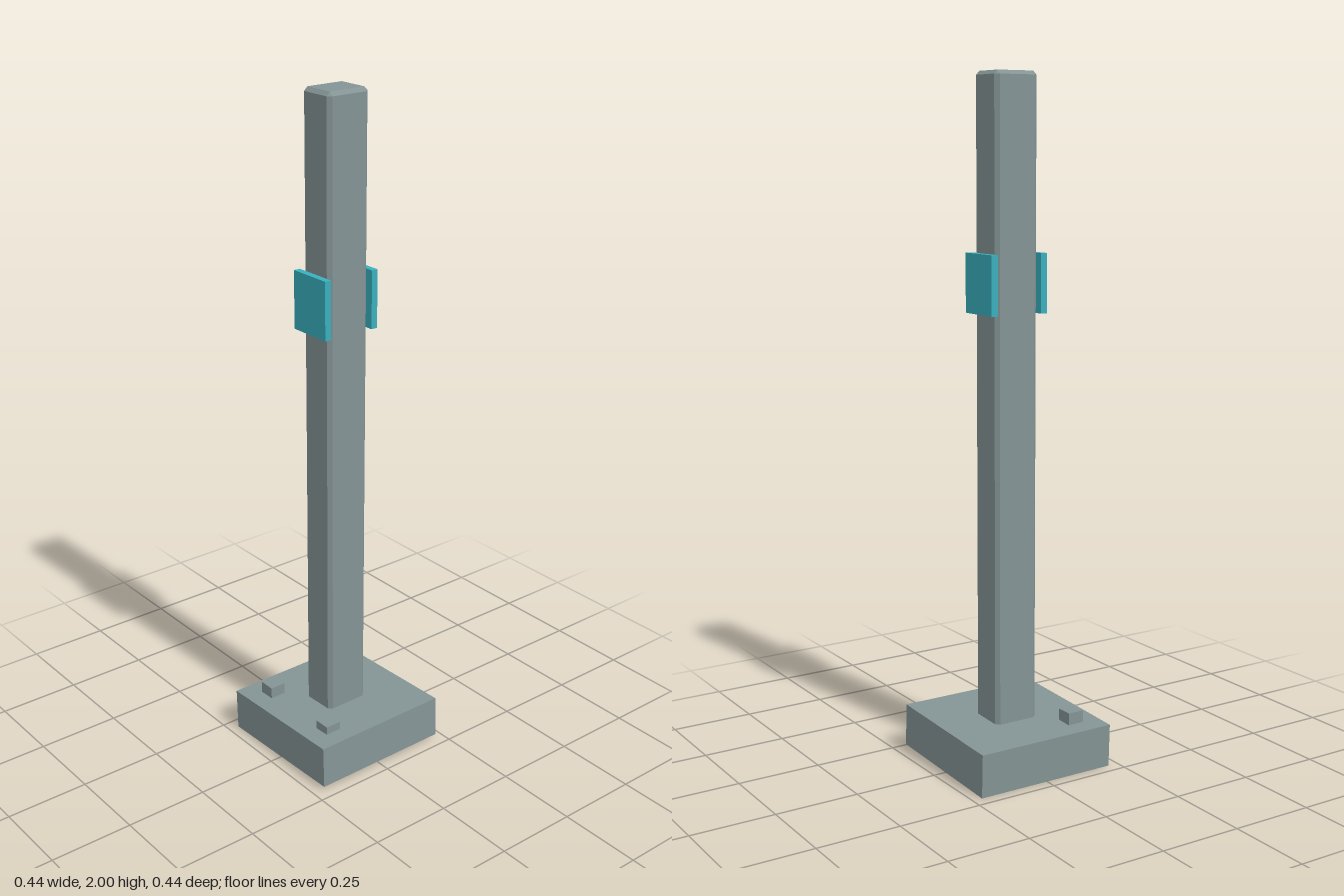
import * as THREE from 'three';
import { ConvexGeometry } from 'three/addons/geometries/ConvexGeometry.js';

const steel = new THREE.MeshStandardMaterial({ color: 0x849495, flatShading: true });
const teal = new THREE.MeshStandardMaterial({ color: 0x39b0bd, flatShading: true });

// Box with every edge and corner cut by c
function chamferedBox(w, h, d, c) {
  const points = [];
  for (const sx of [-1, 1]) for (const sy of [-1, 1]) for (const sz of [-1, 1]) {
    for (let full = 0; full < 3; full++) {
      const half = [w / 2, h / 2, d / 2].map((v, i) => (i === full ? v : v - c));
      points.push(new THREE.Vector3(sx * half[0], sy * half[1], sz * half[2]));
    }
  }
  return new ConvexGeometry(points);
}

export function createModel() {
  const model = new THREE.Group();
  model.name = 'signPost';

  function add(name, geometry, material, x, y, z) {
    const mesh = new THREE.Mesh(geometry, material);
    mesh.name = name;
    mesh.position.set(x, y, z);
    model.add(mesh);
    return mesh;
  }

  // Footing block, leaning slightly sideways
  const base = add('base', new THREE.BoxGeometry(0.435, 0.128, 0.438), steel, 0, 0.0715, -0.001);
  base.rotation.z = 0.035;

  // Upright post with chamfered edges
  add('post', chamferedBox(0.116, 1.89, 0.138, 0.011), steel, -0.001, 1.055, -0.002);

  // Marker plates in front of and behind the post
  const plate = new THREE.BoxGeometry(0.138, 0.17, 0.02);
  add('frontPlate', plate, teal, -0.001, 1.415, 0.08);
  add('backPlate', plate, teal, -0.001, 1.415, -0.084);

  // Bolt heads on the front of the base
  const bolt = new THREE.BoxGeometry(0.05, 0.05, 0.05);
  add('rightBolt', bolt, steel, -0.138, 0.141, 0.136);
  add('leftBolt', bolt, steel, 0.135, 0.141, 0.136);

  return model;
}
